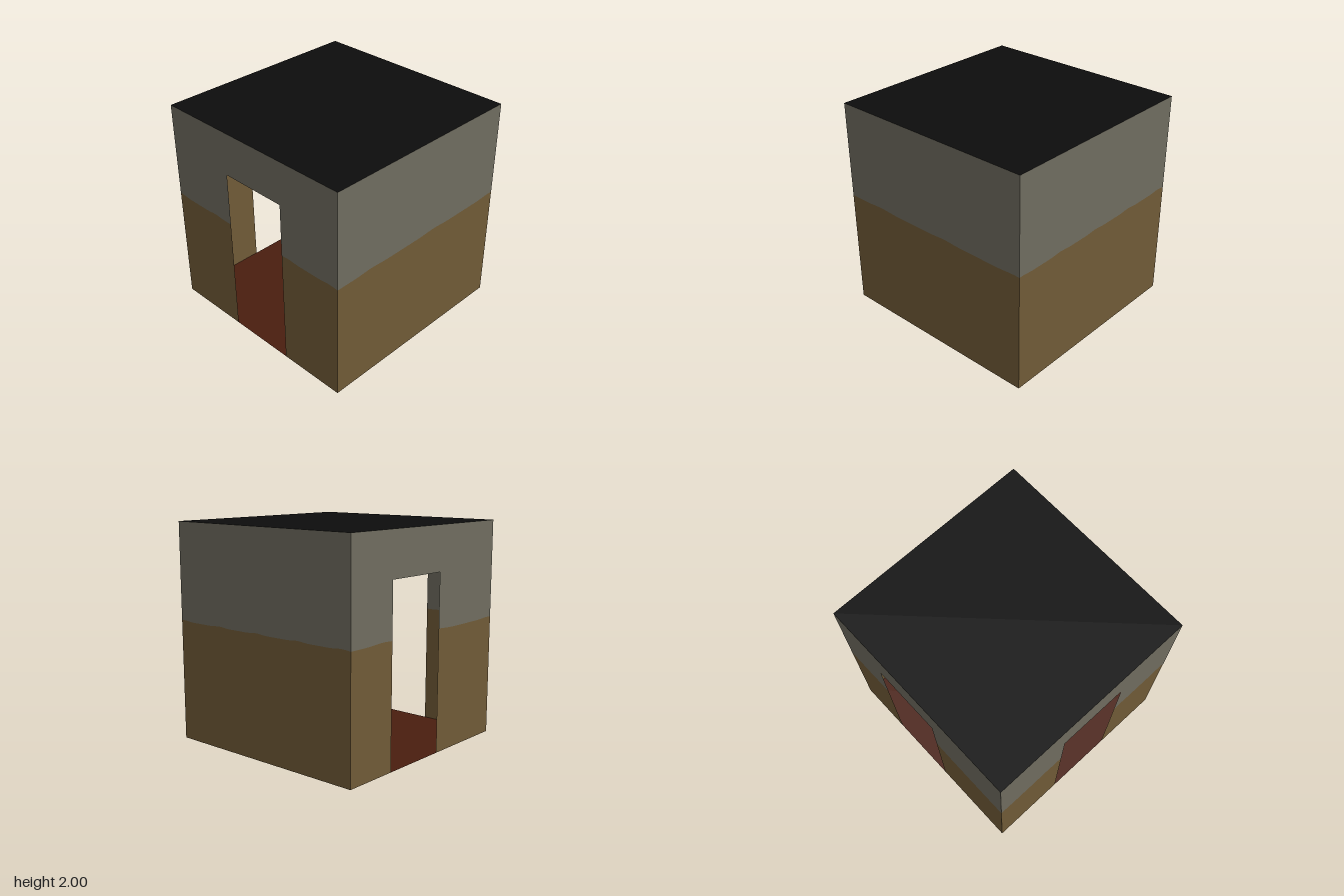
import * as THREE from 'three';

const SIZE = 2, HALF = 1, DOOR_TOP = 1.6;

function flat(name, color) {
  const m = new THREE.MeshStandardMaterial({ color, side: THREE.DoubleSide });
  m.name = name;
  return m;
}

// Slightly uneven line between the lower and upper paint, from u = a to u = b
function seam(a, b, period, phase) {
  const n = Math.ceil((b - a) / 0.05);
  return Array.from({ length: n + 1 }, (_, i) => {
    const u = a + ((b - a) * i) / n;
    const bump = Math.max(0, Math.cos((2 * Math.PI * (u - phase)) / period));
    return new THREE.Vector2(u, 1.103 + 0.009 * bump * bump);
  });
}

export function createModel() {
  const brown = flat('brown wall', 0x725c38);
  const grey = flat('grey wall', 0x716e61);
  const black = flat('black roof', 0x0d0d0d);
  const red = flat('red floor', 0x4a1e0f);

  const model = new THREE.Group();
  model.name = 'room';
  const p = (u, y) => new THREE.Vector2(u, y);

  // One paper-thin wall; door is [start, end] along the wall, if it has one
  function wall(name, angle, period, phase, door) {
    const group = new THREE.Group();
    group.name = name;
    const spans = door ? [[-HALF, door[0]], [door[1], HALF]] : [[-HALF, HALF]];
    const seams = spans.map(([a, b]) => seam(a, b, period, phase));

    const lower = spans.map(([a, b], i) => new THREE.Shape([p(b, 0), p(a, 0), ...seams[i]].reverse()));
    const outline = [p(-HALF, SIZE), ...seams[0]];
    if (door) outline.push(p(door[0], DOOR_TOP), p(door[1], DOOR_TOP), ...seams[1]);
    outline.push(p(HALF, SIZE));

    const parts = [['Lower', lower, brown], ['Upper', new THREE.Shape(outline), grey]];
    for (const [suffix, shape, material] of parts) {
      const mesh = new THREE.Mesh(new THREE.ShapeGeometry(shape), material);
      mesh.name = name + suffix;
      mesh.position.z = HALF;
      group.add(mesh);
    }
    group.rotation.y = angle;
    model.add(group);
  }

  wall('frontWall', 0, 0.78, 0.17);
  wall('rightWall', Math.PI / 2, 0.467, -0.03);
  wall('backWall', Math.PI, 0.78, 0.17, [-0.485, 0.165]);
  wall('leftWall', -Math.PI / 2, 0.467, -0.03, [-0.29, 0.36]);

  // Floor and flat roof
  for (const [name, y, material] of [['floor', 0, red], ['roof', SIZE, black]]) {
    const slab = new THREE.Mesh(new THREE.PlaneGeometry(SIZE, SIZE), material);
    slab.name = name;
    slab.rotation.x = -Math.PI / 2;
    slab.position.y = y;
    model.add(slab);
  }
  return model;
}
